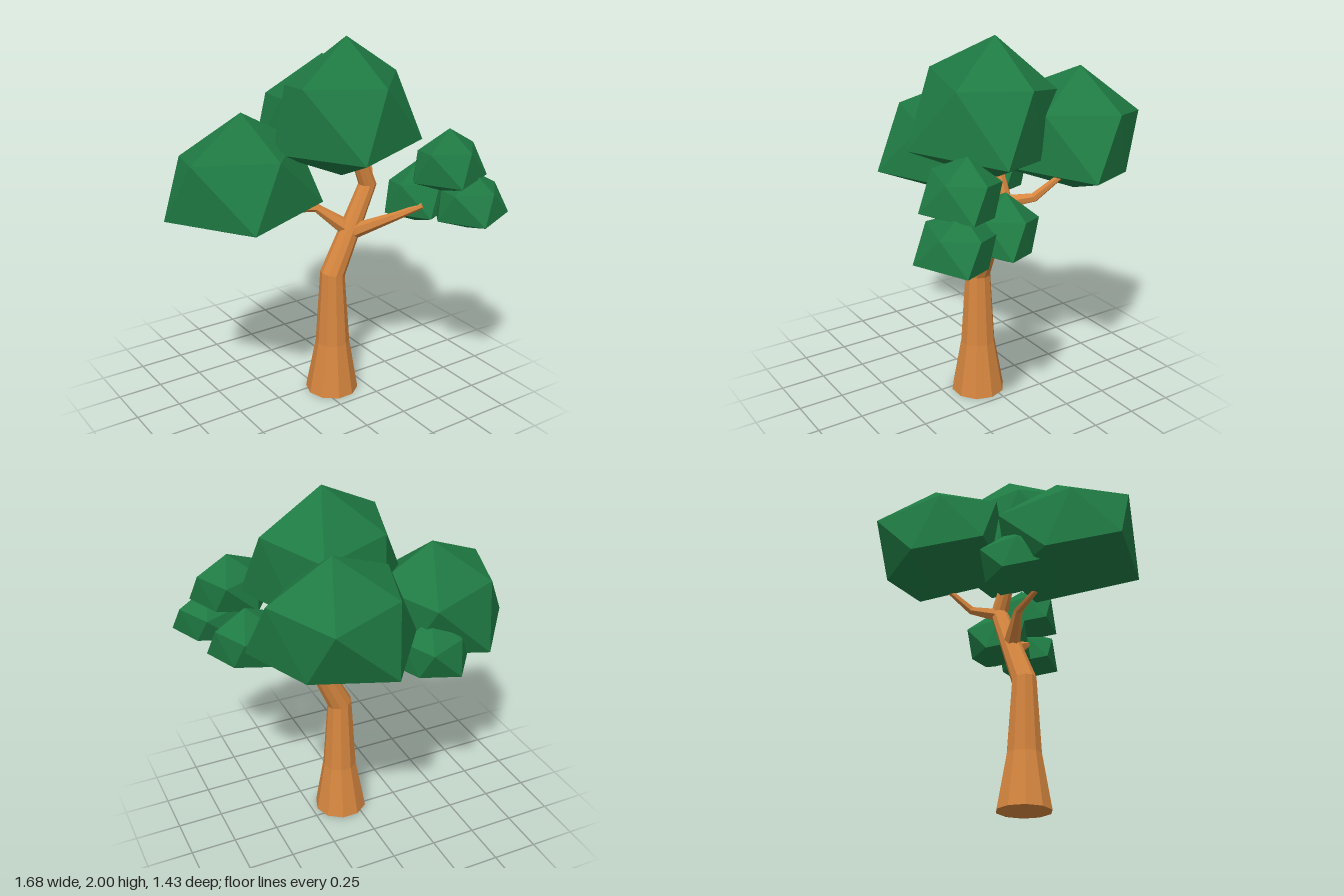
import * as THREE from 'three';
import { ConvexGeometry } from 'three/addons/geometries/ConvexGeometry.js';

const bark = new THREE.MeshStandardMaterial({ color: 0xd6863f, flatShading: true });
const leaf = new THREE.MeshStandardMaterial({ color: 0x1f7a43, flatShading: true });

// Faceted limb lofted along a path of [x, y, z, radius], closed at both ends
function limb(name, path, sides) {
  const centres = path.map(([x, y, z]) => new THREE.Vector3(x, y, z));
  const pos = [], index = [];
  const last = path.length - 1;
  centres.forEach((c, i) => {
    const tangent = new THREE.Vector3();
    if (i > 0) tangent.add(c.clone().sub(centres[i - 1]).normalize());
    if (i < last) tangent.add(centres[i + 1].clone().sub(c).normalize());
    const turn = new THREE.Quaternion().setFromUnitVectors(new THREE.Vector3(0, 1, 0), tangent.normalize());
    for (let s = 0; s < sides; s++) {
      const a = (s + 0.5) / sides * Math.PI * 2;
      const p = new THREE.Vector3(Math.sin(a), 0, Math.cos(a)).multiplyScalar(path[i][3]).applyQuaternion(turn).add(c);
      pos.push(p.x, p.y, p.z);
    }
  });
  for (let i = 0; i < last; i++) {
    for (let s = 0; s < sides; s++) {
      const a = i * sides + s, b = i * sides + (s + 1) % sides;
      index.push(a, b, b + sides, a, b + sides, a + sides);
    }
  }
  const end = last * sides;
  for (let s = 1; s < sides - 1; s++) {
    index.push(0, s + 1, s, end, end + s, end + s + 1);
  }
  const geo = new THREE.BufferGeometry();
  geo.setAttribute('position', new THREE.Float32BufferAttribute(pos, 3));
  geo.setIndex(index);
  geo.computeVertexNormals();
  const mesh = new THREE.Mesh(geo, bark);
  mesh.name = name;
  return mesh;
}

// Irregular twenty-sided leaf clump, measured from its top point
const clumpPoints = [
  [0, 0, 0],
  [-0.37, -0.18, 0.16], [0.07, -0.21, 0.27], [0.33, -0.19, 0], [0.12, -0.25, -0.3], [-0.28, -0.22, -0.155],
  [0.385, -0.5, 0.175], [-0.165, -0.5, 0.42], [-0.455, -0.49, 0.01], [-0.22, -0.57, -0.277], [0.205, -0.54, -0.16],
  [-0.02, -0.66, 0],
].map(p => new THREE.Vector3(...p));

export function createModel() {
  const tree = new THREE.Group();
  tree.name = 'tree';

  // Trunk with a flared foot and a bent upper part
  tree.add(limb('trunk', [
    [0.073, 0, 0.055, 0.148], [0.075, 0.3, 0.057, 0.095], [0.073, 0.71, 0.055, 0.069],
    [0.3, 1.19, 0.055, 0.05], [0.235, 1.35, 0.058, 0.041],
  ], 10));

  // Branches
  tree.add(limb('rightBranch', [
    [0.19, 0.94, 0.055, 0.05], [0.02, 1.08, -0.03, 0.024], [-0.22, 1.09, -0.1, 0.015],
  ], 6));
  tree.add(limb('leftBranch', [
    [0.18, 0.93, 0.06, 0.045], [0.33, 1.06, 0.27, 0.024], [0.43, 1.13, 0.37, 0.015],
  ], 6));
  tree.add(limb('backBranch', [
    [0.28, 1.17, 0.055, 0.04], [0.4, 1.21, -0.07, 0.025], [0.46, 1.32, -0.19, 0.016],
  ], 6));

  // Leaf clumps: name, top point, horizontal scale, vertical scale
  const clumpGeo = new ConvexGeometry(clumpPoints);
  const clumps = [
    ['topLeaves', [0.173, 2, 0.02], 1, 1.13],
    ['backLeaves', [0.31, 1.828, -0.41], 1, 1],
    ['rightLeaves', [-0.39, 1.652, -0.098], 1, 1],
    ['smallBackLeaves', [-0.277, 1.33, -0.317], 0.51, 0.52],
    ['smallUpperLeaves', [0.55, 1.547, 0.42], 0.51, 0.52],
    ['smallFrontLeaves', [0.642, 1.326, 0.51], 0.5, 0.48],
    ['smallInnerLeaves', [0.54, 1.33, 0.2], 0.51, 0.54],
  ];
  for (const [name, at, wide, tall] of clumps) {
    const mesh = new THREE.Mesh(clumpGeo, leaf);
    mesh.name = name;
    mesh.position.set(...at);
    mesh.scale.set(wide, tall, wide);
    tree.add(mesh);
  }
  return tree;
}
